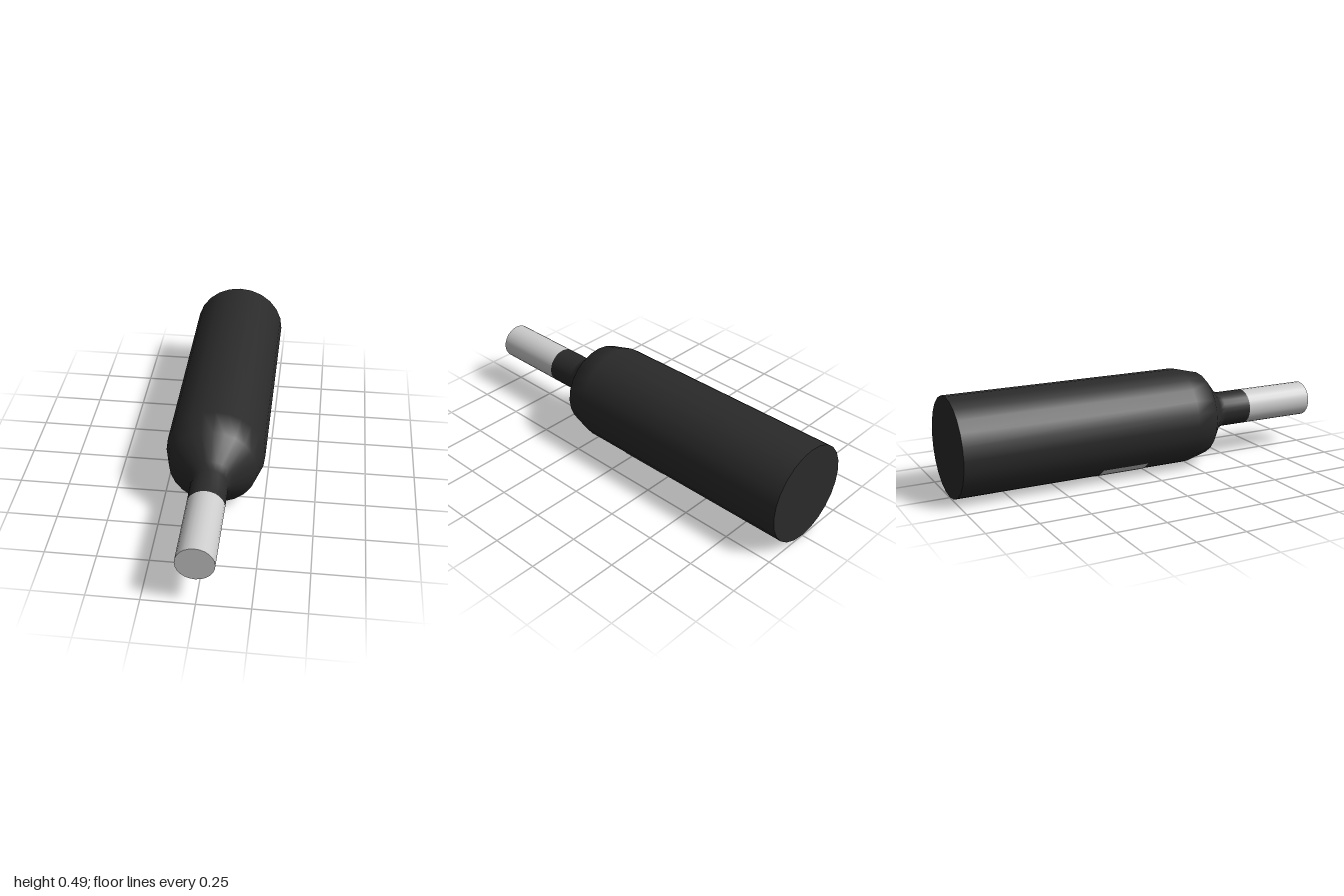
import * as THREE from 'three';

const SIDES = 24;
const R = 0.244;        // body radius
const NECK = 0.09;      // neck radius
const AXIS_Y = 0.246;   // height of the bottle's axis

export function createModel() {
  const bottle = new THREE.Group();
  bottle.name = 'lyingBottle';
  const glass = new THREE.MeshStandardMaterial({ color: 0x2a2a2a });
  const foil = new THREE.MeshStandardMaterial({ color: 0xcccccc });
  const paper = new THREE.MeshStandardMaterial({ color: 0xcccccc, side: THREE.DoubleSide });

  const add = (name, geometry, material) => {
    const mesh = new THREE.Mesh(geometry, material);
    mesh.name = name;
    bottle.add(mesh);
  };
  // Turned part: [radius, z] pairs from back to front, laid along z
  const turned = (profile) => {
    const g = new THREE.LatheGeometry(profile.map(([r, z]) => new THREE.Vector2(r, z)), SIDES);
    g.normalizeNormals();
    return g.rotateX(Math.PI / 2).translate(0, AXIS_Y, 0);
  };

  // Body, shoulder and bare neck
  add('body', turned([[R, -1], [R, 0.22], [0.214, 0.34], [0.108, 0.43], [NECK, 0.47], [NECK, 0.62]]), glass);
  add('base', new THREE.CircleGeometry(R, SIDES).rotateY(Math.PI).translate(0, AXIS_Y, -1), glass);

  // Foil sleeve and its flat end
  add('neckFoil', turned([[NECK, 0.62], [NECK, 1]]), foil);
  add('foilEnd', new THREE.CircleGeometry(NECK, SIDES).translate(0, AXIS_Y, 1), foil);

  // Label wrapped round the underside; its left edge stops partway along the last facet
  const step = (2 * Math.PI) / SIDES;
  const label = new THREE.CylinderGeometry(AXIS_Y, AXIS_Y, 0.25, 7, 1, true, -3 * step, 7 * step);
  const pos = label.attributes.position;
  const a = AXIS_Y * Math.SQRT1_2;
  for (let i = 0; i < pos.count; i++) {
    if (pos.getX(i) < 0.2) continue;
    pos.setX(i, THREE.MathUtils.lerp(a, pos.getX(i), 0.31));
    pos.setZ(i, THREE.MathUtils.lerp(a, pos.getZ(i), 0.31));
  }
  add('label', label.rotateX(Math.PI / 2).translate(0, AXIS_Y, -0.155), paper);

  return bottle;
}
